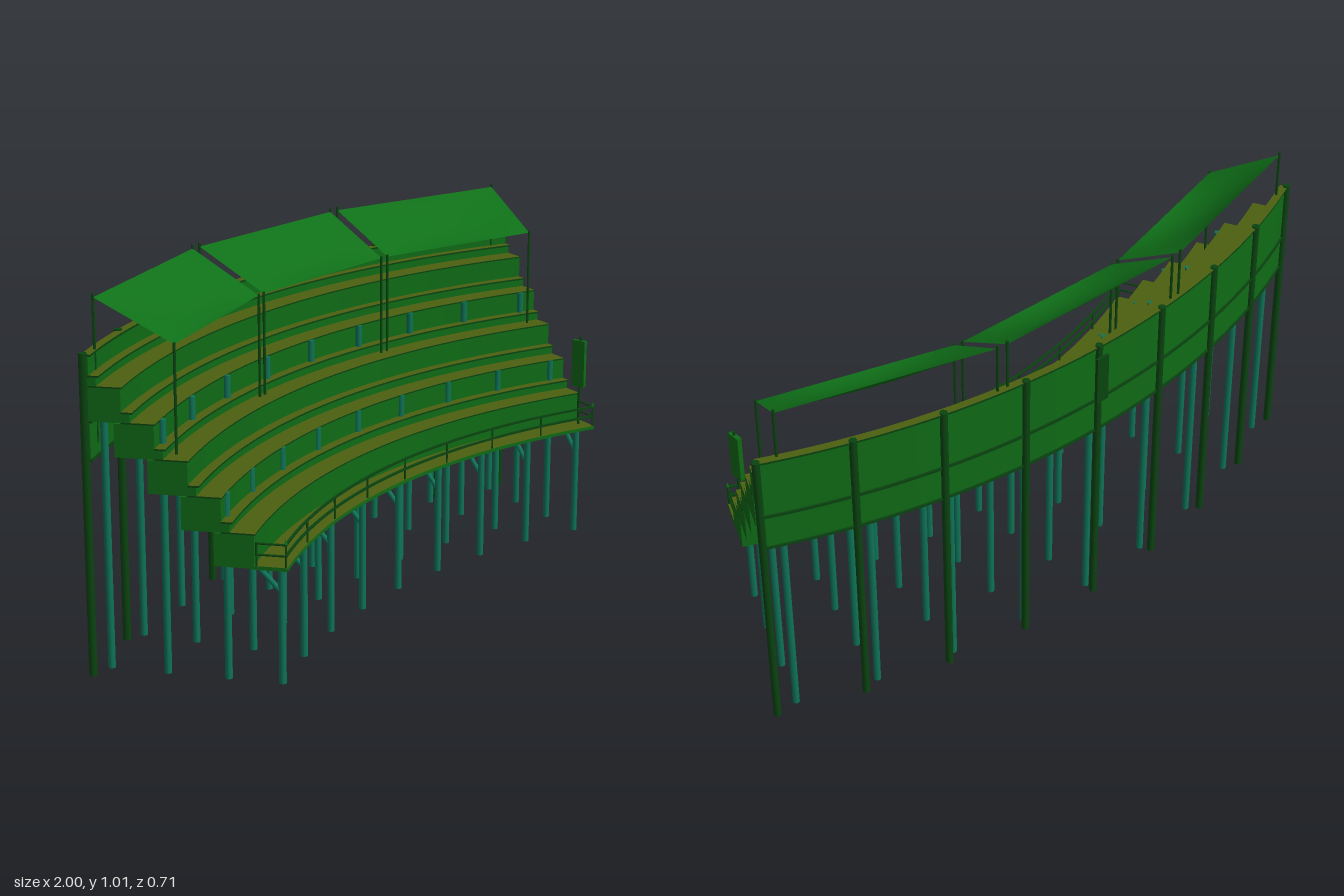
import * as THREE from 'three';

const ZC = 2.05;                       // centre of the arc lies in front of the stand
const T = THREE.MathUtils.degToRad(24.45); // half sweep
const mat = (c, side = THREE.FrontSide) => new THREE.MeshStandardMaterial({ color: c, side });
const green = mat(0x0f6a16), dark = mat(0x0a4410), olive = mat(0x4c6010), teal = mat(0x0f7458);
const cloth = mat(0x0f7018, THREE.DoubleSide);

// Point at radius r, angle a, height y
const polar = (r, a, y) => new THREE.Vector3(r * Math.sin(a), y, ZC - r * Math.cos(a));

export function createModel() {
  const root = new THREE.Group();
  const add = (name, geo, m, parent = root) => {
    const mesh = new THREE.Mesh(geo, m);
    mesh.name = name;
    parent.add(mesh);
    return mesh;
  };
  const group = (name) => {
    const g = new THREE.Group();
    g.name = name;
    root.add(g);
    return g;
  };

  // Curved slab between two radii and two heights
  const arcSlab = (name, r0, r1, y0, y1, m, parent) => {
    const s = new THREE.Shape();
    s.absarc(0, 0, r1, -Math.PI / 2 - T, -Math.PI / 2 + T, false);
    s.absarc(0, 0, r0, -Math.PI / 2 + T, -Math.PI / 2 - T, true);
    const g = new THREE.ExtrudeGeometry(s, { depth: y1 - y0, bevelEnabled: false, curveSegments: 40 });
    g.rotateX(Math.PI / 2).translate(0, y1, ZC);
    return add(name, g, m, parent);
  };

  // Round bar between two points
  const bar = (name, a, b, r, m, parent, sides = 8) => {
    const d = b.clone().sub(a);
    const mesh = add(name, new THREE.CylinderGeometry(r, r, d.length(), sides), m, parent);
    mesh.position.copy(a).add(b).multiplyScalar(0.5);
    mesh.quaternion.setFromUnitVectors(new THREE.Vector3(0, 1, 0), d.normalize());
    return mesh;
  };

  // Front walkway
  arcSlab('walkway', 1.863, 1.96, 0.325, 0.335, [olive, green]);

  // Seating tiers: riser block, tread and bench
  const tiers = group('tiers');
  for (let i = 0; i < 5; i++) {
    const r = 1.95 + 0.085 * i, y = 0.42 + 0.0912 * i;
    arcSlab('riser', r, r + (i < 4 ? 0.105 : 0.088), y - 0.093, y - 0.004, green, tiers);
    arcSlab('tread', r - 0.003, r + 0.087, y - 0.004, y, [olive, dark], tiers);
    arcSlab('bench', r + 0.063, r + 0.086, y, y + 0.022, green, tiers);
    arcSlab('benchTop', r + 0.056, r + 0.086, y + 0.022, y + 0.027, [olive, dark], tiers);
  }

  // Back wall with capping and a middle band
  const wall = group('backWall');
  arcSlab('wallPanel', 2.372, 2.384, 0.585, 0.862, green, wall);
  arcSlab('wallCap', 2.366, 2.39, 0.86, 0.866, [olive, dark], wall);
  arcSlab('wallBand', 2.368, 2.389, 0.686, 0.694, dark, wall);
  arcSlab('wallFoot', 2.368, 2.389, 0.585, 0.592, dark, wall);
  for (let i = -4; i <= 4; i++) {
    const a = T * i / 4;
    bar('wallPost', polar(2.386, a, 0), polar(2.386, a, 0.87), 0.011, dark, wall, 10);
  }

  // Radial support frames: four columns and a raking beam each
  const frames = group('supportFrames');
  const columns = [[1.89, 0.327], [2.035, 0.51], [2.2, 0.692], [2.355, 0.78]];
  for (let i = -4; i <= 4; i++) {
    const a = THREE.MathUtils.degToRad(5.75 * i);
    for (const [r, h] of columns)
      bar('column', polar(r, a, 0), polar(r, a, h), 0.01, teal, frames);
    bar('rakingBeam', polar(1.885, a, 0.245), polar(2.355, a, 0.735), 0.007, teal, frames);
  }

  // Front railing with returns at both ends
  const railing = group('railing');
  for (const y of [0.365, 0.395]) {
    arcSlab('rail', 1.865, 1.871, y - 0.003, y + 0.003, dark, railing);
    for (const s of [-1, 1])
      bar('endRail', polar(1.868, s * (T - 0.002), y), polar(1.945, s * (T - 0.002), y), 0.003, dark, railing, 6);
  }
  for (let i = -4; i <= 4; i++) {
    const a = (T - 0.002) * i / 4;
    bar('railPost', polar(1.868, a, 0.33), polar(1.868, a, 0.398), 0.003, dark, railing, 6);
  }
  for (const s of [-1, 1]) {
    const a = s * (T - 0.002);
    bar('railPost', polar(1.945, a, 0.33), polar(1.945, a, 0.398), 0.003, dark, railing, 6);
    const tip = add('railFinial', new THREE.ConeGeometry(0.005, 0.014, 8), green, railing);
    tip.position.copy(polar(1.868, a, 0.404));
  }

  // Sagging cloth canopies; corners are back-left, back-right, front-right, front-left as [x, z]
  const canopies = group('canopies');
  const canopy = (corners) => {
    const N = 14;
    const g = new THREE.PlaneGeometry(1, 1, N, N);
    const p = g.attributes.position;
    const [bl, br, fr, fl] = corners;
    const mix = THREE.MathUtils.lerp;
    for (let k = 0; k < p.count; k++) {
      const u = p.getX(k) + 0.5, t = p.getY(k) + 0.5; // t = 1 at the back edge
      const x = mix(mix(fl[0], fr[0], u), mix(bl[0], br[0], u), t);
      const z = mix(mix(fl[1], fr[1], u), mix(bl[1], br[1], u), t);
      const sag = 0.028 * 4 * t * (1 - t) * Math.sin(Math.PI * u);
      p.setXYZ(k, x, 0.89 + 0.11 * t - sag, z);
    }
    g.computeVertexNormals();
    add('canopyCloth', g, cloth, canopies);
    corners.forEach(([x, z], k) => {
      const back = k < 2;
      bar('canopyPole', new THREE.Vector3(x, back ? 0.62 : 0.6, z),
        new THREE.Vector3(x, back ? 1.01 : 0.895, z), 0.004, dark, canopies, 6);
    });
  };
  canopy([[-0.305, -0.305], [0.305, -0.305], [0.28, -0.1], [-0.28, -0.1]]);
  canopy([[0.337, -0.303], [0.93, -0.133], [0.847, 0.06], [0.306, -0.097]]);
  canopy([[-0.93, -0.133], [-0.337, -0.303], [-0.306, -0.097], [-0.847, 0.06]]);

  // Hanging banner on a pole at the left end of the walkway
  const banner = group('banner');
  bar('bannerPole', new THREE.Vector3(0.762, 0.33, 0.303), new THREE.Vector3(0.762, 0.612, 0.303), 0.004, dark, banner);
  add('bannerPanel', new THREE.BoxGeometry(0.014, 0.145, 0.042), green, banner).position.set(0.762, 0.527, 0.3);

  // Banner on the centre of the back wall
  const rear = group('rearBanner');
  add('rearPanel', new THREE.BoxGeometry(0.042, 0.145, 0.008), dark, rear).position.set(0, 0.765, -0.35);

  return root;
}
